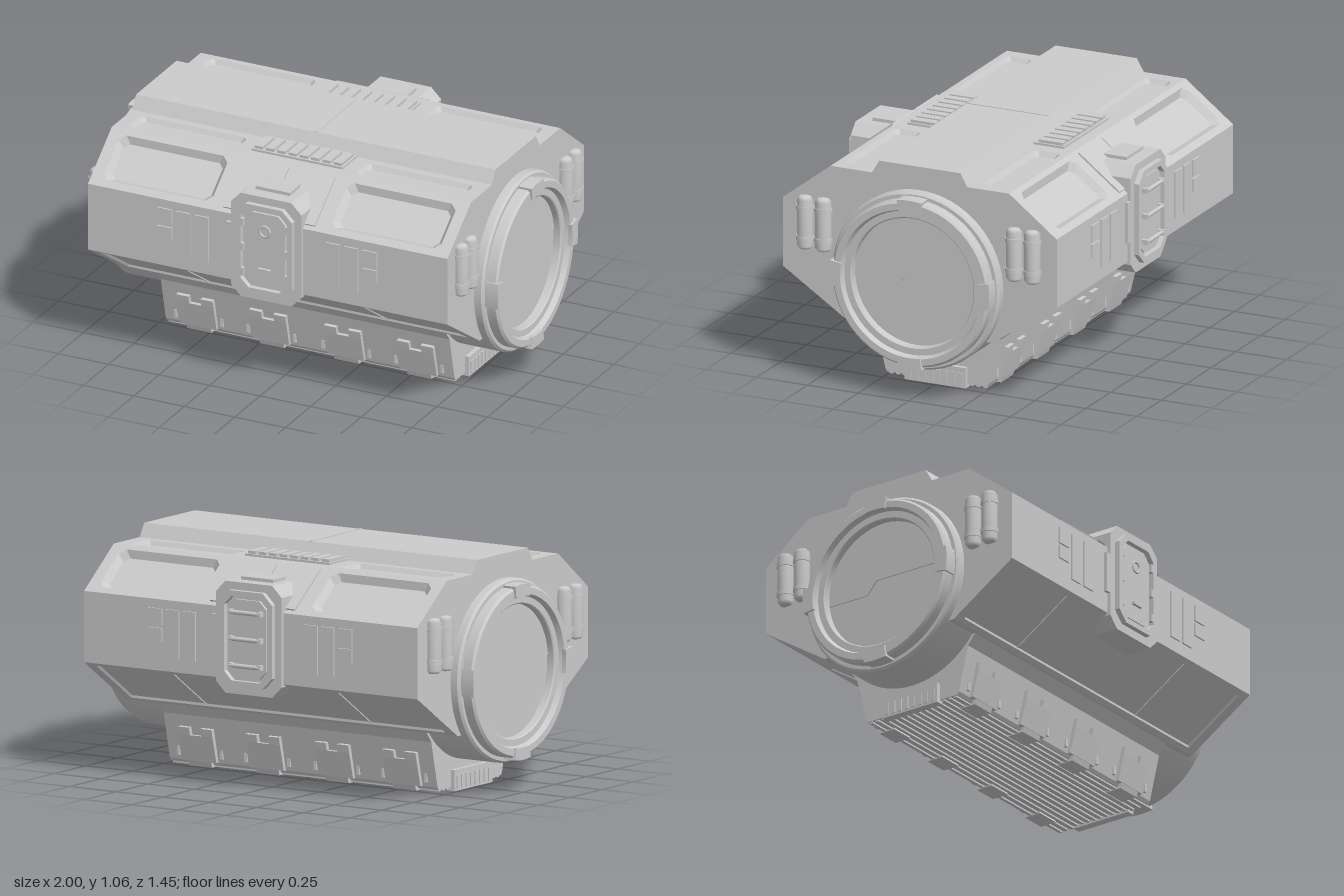
import * as THREE from 'three';
import { toCreasedNormals } from 'three/addons/utils/BufferGeometryUtils.js';

const mat = new THREE.MeshStandardMaterial({ color: 0xcccccc });
const HALF = 0.89; // half length of the hull
const CY = 0.54; // height of the hatch axis
// Hull cross-section, [z, y], from the belly up to the ridge
const PROFILE = [[0, 0.29], [0.355, 0.29], [0.675, 0.5], [0.675, 0.82], [0.44, 1.0], [0.235, 1.0], [0.2, 1.06], [0, 1.06]];

function add(parent, name, geo, x = 0, y = 0, z = 0) {
  const m = new THREE.Mesh(geo, mat);
  m.name = name;
  m.position.set(x, y, z);
  parent.add(m);
  return m;
}
const box = (parent, name, w, h, d, x, y, z) => add(parent, name, new THREE.BoxGeometry(w, h, d), x, y, z);
const shapeOf = (pts) => new THREE.Shape(pts.map((p) => new THREE.Vector2(p[0], p[1])));

// Rectangle with cut corners, counter-clockwise
function octagon(x0, x1, y0, y1, c) {
  return [[x0 + c, y0], [x1 - c, y0], [x1, y0 + c], [x1, y1 - c], [x1 - c, y1], [x0 + c, y1], [x0, y1 - c], [x0, y0 + c]];
}
function plate(pts, depth, hole) {
  const s = shapeOf(pts);
  if (hole) s.holes.push(shapeOf(hole));
  return new THREE.ExtrudeGeometry(s, { depth, bevelEnabled: false });
}
// Extrudes a [z, y] section along x, centred
function prism(pts, length) {
  return plate(pts, length).translate(0, 0, -length / 2).rotateY(-Math.PI / 2);
}

// Sloped walls between a hole and its sunken floor
function recessWalls(outer, inner, depth) {
  const pos = [];
  outer.forEach((a, i) => {
    const j = (i + 1) % outer.length;
    const [A, B, C, D] = [[...a, 0], [...outer[j], 0], [...inner[j], -depth], [...inner[i], -depth]];
    pos.push(...A, ...B, ...C, ...A, ...C, ...D);
  });
  const g = new THREE.BufferGeometry();
  g.setAttribute('position', new THREE.Float32BufferAttribute(pos, 3));
  g.computeVertexNormals();
  return g;
}

// One flat hull face in local axes: x along the hull, y up the face, z outwards
function hullFace(parent, i, recesses = []) {
  const [a, b] = [PROFILE[i], PROFILE[i + 1]];
  const X = new THREE.Vector3(1, 0, 0);
  const V = new THREE.Vector3(0, b[1] - a[1], b[0] - a[0]);
  const len = V.length();
  V.normalize();
  const g = new THREE.Group();
  g.name = 'hullFace';
  g.position.set(0, a[1], a[0]);
  g.quaternion.setFromRotationMatrix(new THREE.Matrix4().makeBasis(X, V, X.clone().cross(V)));
  const s = shapeOf([[-HALF, 0], [HALF, 0], [HALF, len], [-HALF, len]]);
  for (const [x0, x1, y0, y1, c, d, k] of recesses) {
    const outer = octagon(x0, x1, y0, y1, c);
    const inner = octagon(x0 + k, x1 - k, y0 + k, y1 - k, c * 0.8);
    s.holes.push(shapeOf(outer));
    add(g, 'recessWalls', recessWalls(outer, inner, d));
    add(g, 'recessFloor', new THREE.ShapeGeometry(shapeOf(inner)), 0, 0, -d);
  }
  add(g, 'hullSkin', new THREE.ShapeGeometry(s));
  parent.add(g);
  return g;
}

function airlock(parent, isFront) {
  const g = new THREE.Group();
  g.name = 'airlock';
  add(g, 'airlockHousing', plate(octagon(-0.175, 0.175, 0.437, 0.94, 0.05), 0.2), 0, 0, 0.49);
  add(g, 'doorFrame', plate(octagon(-0.14, 0.14, 0.475, 0.905, 0.05), 0.025, octagon(-0.115, 0.115, 0.5, 0.88, 0.04)), 0, 0, 0.69);
  add(g, 'door', plate(octagon(-0.1, 0.1, 0.515, 0.865, 0.035), 0.012), 0, 0, 0.69);
  box(g, 'roofBox', 0.17, 0.05, 0.13, 0, 0.93, 0.56);
  box(g, 'hingeBox', 0.03, 0.19, 0.03, -0.185, 0.69, 0.675);
  if (isFront) {
    add(g, 'porthole', new THREE.TorusGeometry(0.025, 0.006, 8, 20), 0, 0.78, 0.703);
    box(g, 'doorHandle', 0.06, 0.012, 0.016, 0, 0.595, 0.708);
    for (const s of [-1, 1]) for (const y of [0.57, 0.69, 0.81]) box(g, 'doorLatch', 0.014, 0.035, 0.02, s * 0.108, y, 0.705);
  } else {
    for (const y of [0.57, 0.69, 0.81]) {
      add(g, 'ladderRung', new THREE.CylinderGeometry(0.01, 0.01, 0.16, 10).rotateZ(Math.PI / 2), 0, y, 0.722);
      for (const s of [-1, 1]) box(g, 'rungPost', 0.018, 0.022, 0.035, s * 0.078, y, 0.712);
    }
  }
  parent.add(g);
}

// Clamp on the keel, with a notch in its upper edge
function keelClamp(parent, x) {
  const g = new THREE.Group();
  g.name = 'keelClamp';
  const low = [[0.2, 0.03], [0.272, 0.03], [0.304, 0.15], [0.25, 0.15]];
  const high = [[0.25, 0.15], [0.304, 0.15], [0.312, 0.185], [0.25, 0.19]];
  add(g, 'clampPlate', prism(low, 0.18));
  for (const s of [-1, 1]) add(g, 'clampEar', prism(high, 0.06), s * 0.06);
  add(g, 'clampFoot', prism([[0.18, 0.006], [0.262, 0.006], [0.28, 0.06], [0.2, 0.06]], 0.12));
  for (const s of [-1, 1]) box(g, 'clampPin', 0.014, 0.04, 0.02, s * 0.115, 0.07, 0.262);
  g.position.x = x;
  parent.add(g);
}

// Everything on one long side
function sideHalf(isFront) {
  const g = new THREE.Group();
  g.name = isFront ? 'frontSide' : 'backSide';
  hullFace(g, 0);
  const lower = hullFace(g, 1, [[-0.84, 0.84, 0.025, 0.355, 0.004, 0.01, 0.006]]);
  for (const s of [-1, 1]) box(lower, 'panelSeam', 0.006, 0.32, 0.006, s * 0.44, 0.19, -0.008);

  // Raised wall panels
  const wall = hullFace(g, 2);
  for (const s of [-1, 1]) {
    for (const x of [0.325, 0.415]) box(wall, 'wallPanel', 0.068, 0.22, 0.016, s * x, 0.17, 0);
    box(wall, 'wallPanelSmall', 0.072, 0.076, 0.016, s * 0.508, 0.242, 0);
    box(wall, 'wallPanelSmall', 0.072, 0.06, 0.016, s * 0.508, 0.162, 0);
  }

  // Sloped shoulder with window recesses and a split centre plate
  const slope = hullFace(g, 3, [[0.295, 0.835, 0.035, 0.27, 0.03, 0.03, 0.025], [-0.835, -0.295, 0.035, 0.27, 0.03, 0.03, 0.025]]);
  for (const s of [-1, 1]) box(slope, 'shoulderPlate', 0.224, 0.255, 0.016, s * 0.115, 0.15, 0);

  // Roof shelf with recesses and a slatted vent
  const shelf = hullFace(g, 4, [[0.295, 0.825, 0.03, 0.165, 0.02, 0.02, 0.015], [-0.825, -0.295, 0.03, 0.165, 0.02, 0.02, 0.015]]);
  box(shelf, 'ventBase', 0.45, 0.15, 0.02, 0, 0.13, 0);
  for (let i = 0; i < 8; i++) box(shelf, 'ventSlat', 0.04, 0.12, 0.03, -0.196 + i * 0.056, 0.125, 0.008);

  hullFace(g, 5);
  const ridge = hullFace(g, 6);
  box(ridge, 'ridgeSeam', 0.014, 0.2, 0.006, 0, 0.1, 0);

  airlock(g, isFront);
  for (const x of [-0.545, -0.185, 0.185, 0.545]) keelClamp(g, x);
  return g;
}

// Slim gas tank with domed ends and two bands
function tank(parent, z) {
  const g = new THREE.Group();
  g.name = 'tank';
  const prof = [[0, -0.125], [0.024, -0.122], [0.037, -0.108], [0.037, 0.108], [0.024, 0.122], [0, 0.125]];
  add(g, 'tankBody', new THREE.LatheGeometry(prof.map((p) => new THREE.Vector2(...p)), 20));
  for (const y of [-0.07, 0.07]) add(g, 'tankBand', new THREE.CylinderGeometry(0.041, 0.041, 0.02, 20), 0, y, 0);
  g.position.set(0.9, 0.725, z);
  parent.add(g);
}

// One end of the hull, facing +x
function hullEnd() {
  const g = new THREE.Group();
  g.name = 'hullEnd';
  const outline = [...PROFILE, ...PROFILE.slice(1, -1).reverse().map(([z, y]) => [-z, y])];
  add(g, 'endWall', new THREE.ShapeGeometry(shapeOf(outline)).rotateY(Math.PI / 2), HALF);

  // Docking collar and recessed round hatch
  const prof = [[0.412, 0.86], [0.412, 0.925], [0.402, 0.935], [0.385, 0.935], [0.385, 0.98], [0.375, 0.99], [0.345, 0.99], [0.335, 0.965], [0.305, 0.965], [0.3, 0.96], [0.3, 0.925]];
  const collar = new THREE.LatheGeometry(prof.map((p) => new THREE.Vector2(...p)), 64);
  add(g, 'dockingCollar', toCreasedNormals(collar, 0.5).rotateZ(-Math.PI / 2), 0, CY, 0);
  add(g, 'hatchDisc', new THREE.CircleGeometry(0.302, 64).rotateY(Math.PI / 2), 0.926, CY, 0);
  const leaf = new THREE.Shape();
  leaf.absarc(0, 0, 0.298, 0.1, Math.PI + 0.1, false);
  leaf.lineTo(-0.09, -0.03);
  leaf.lineTo(-0.04, 0.03);
  leaf.closePath();
  add(g, 'hatchLeaf', new THREE.ExtrudeGeometry(leaf, { depth: 0.006, bevelEnabled: false, curveSegments: 32 }).rotateY(Math.PI / 2), 0.926, CY, 0);

  // Four curved collar latches
  for (let i = 0; i < 4; i++) {
    const a = (i * Math.PI) / 2;
    const s = new THREE.Shape();
    s.absarc(0, 0, 0.395, a - 0.155, a + 0.155, false);
    s.absarc(0, 0, 0.34, a + 0.155, a - 0.155, true);
    add(g, 'collarLatch', new THREE.ExtrudeGeometry(s, { depth: 0.075, bevelEnabled: false }).rotateY(Math.PI / 2), 0.925, CY, 0);
  }

  for (const s of [-1, 1]) for (const z of [0.47, 0.56]) tank(g, s * z);

  // Grille at the end of the keel
  box(g, 'keelEndPlate', 0.04, 0.095, 0.3, 0.715, 0.0475, 0);
  for (let i = 0; i < 8; i++) box(g, 'keelEndSlat', 0.01, 0.06, 0.02, 0.735, 0.04, -0.126 + i * 0.036);
  return g;
}

export function createModel() {
  const model = new THREE.Group();
  model.name = 'spaceModule';
  for (const isFront of [true, false]) {
    const side = sideHalf(isFront);
    const end = hullEnd();
    if (!isFront) side.rotation.y = end.rotation.y = Math.PI;
    model.add(side, end);
  }

  // Lower arc of the pressure drum, showing below the hull
  const arc = 0.92;
  const drum = new THREE.CylinderGeometry(0.412, 0.412, HALF * 2, 40, 1, true, -arc, arc * 2);
  drum.rotateX(Math.PI / 2).rotateY(Math.PI / 2);
  add(model, 'drum', drum, 0, CY, 0);

  // Keel with lengthwise ribs underneath
  const k = [[0.345, 0.292], [0.305, 0.24], [0.255, 0.03], [0.245, 0.016]];
  add(model, 'keel', prism([...k, ...k.map(([z, y]) => [-z, y]).reverse()], 1.43));
  for (let i = 0; i < 15; i++) box(model, 'keelRib', 1.42, 0.012, 0.016, 0, 0.014, -0.231 + i * 0.033);
  return model;
}
